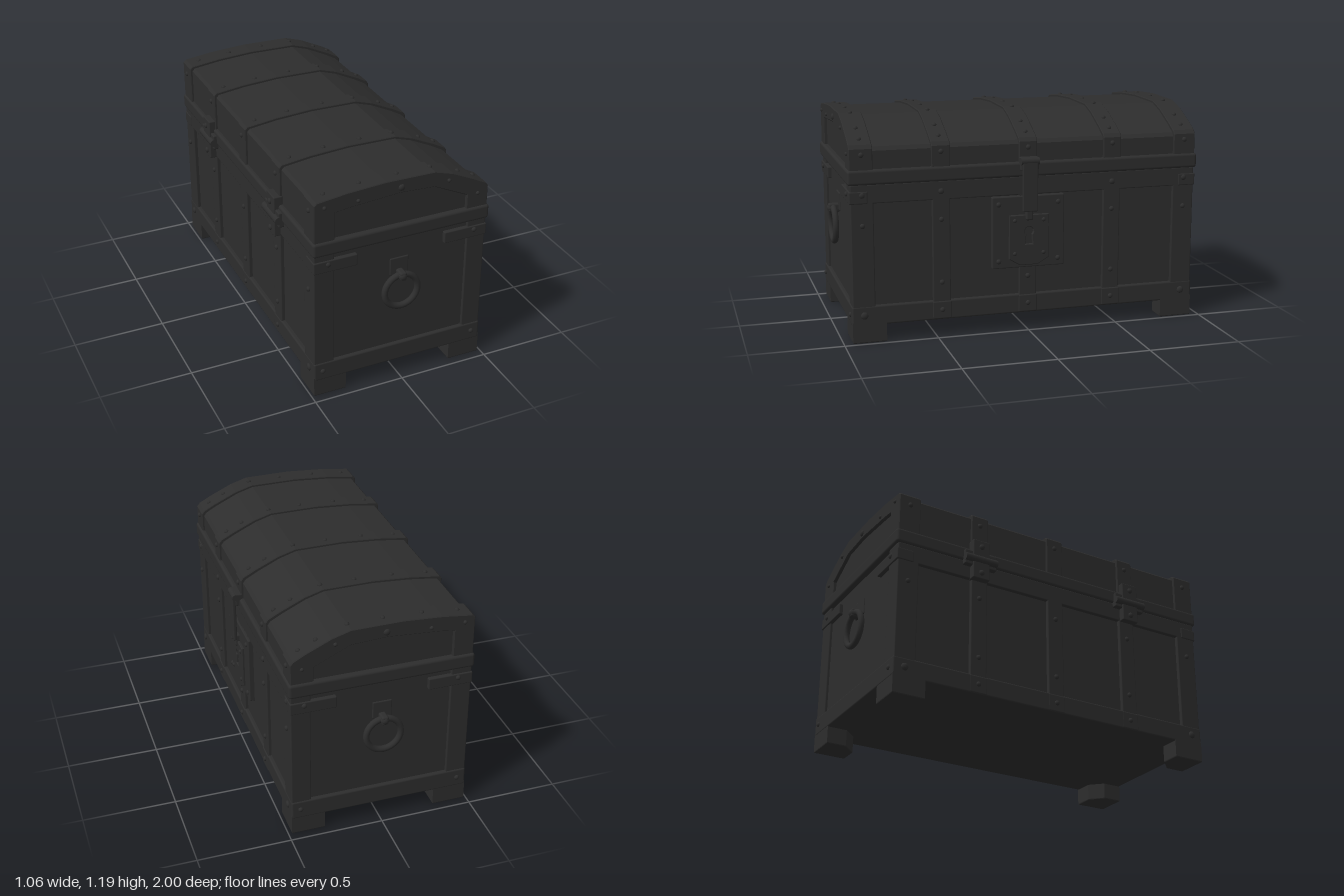
import * as THREE from 'three';
import { RoundedBoxGeometry } from 'three/addons/geometries/RoundedBoxGeometry.js';

export function createModel() {
  const model = new THREE.Group();
  model.name = 'chest';
  const dark = new THREE.MeshStandardMaterial({ color: 0x2d2d2d });
  dark.name = 'charcoal';

  const add = (name, geometry) => {
    const mesh = new THREE.Mesh(geometry, dark);
    mesh.name = name;
    model.add(mesh);
    return mesh;
  };
  // Softened box given by its extents
  const box = (name, x0, x1, y0, y1, z0, z1, r = 0.006) => {
    const mesh = add(name, new RoundedBoxGeometry(x1 - x0, y1 - y0, z1 - z0, 2, r));
    mesh.position.set((x0 + x1) / 2, (y0 + y1) / 2, (z0 + z1) / 2);
    return mesh;
  };
  // Softened extrusion between two z values
  const slab = (name, shape, z0, z1, bevel = 0.004) => {
    const g = new THREE.ExtrudeGeometry(shape, {
      depth: z1 - z0 - 2 * bevel, bevelSize: bevel, bevelThickness: bevel,
      bevelOffset: -bevel, bevelSegments: 1, curveSegments: 6,
    });
    g.translate(0, 0, z0 + bevel);
    return add(name, g);
  };
  // Flattened rivet head facing along (nx, ny, nz)
  const rivetShape = new THREE.SphereGeometry(1, 10, 6);
  const rivet = (x, y, z, nx, ny, nz, r = 0.014) => {
    const mesh = add('rivet', rivetShape);
    mesh.position.set(x, y, z);
    mesh.scale.set(r, r, 0.011);
    mesh.quaternion.setFromUnitVectors(new THREE.Vector3(0, 0, 1), new THREE.Vector3(nx, ny, nz).normalize());
  };
  const outline = (pts) => new THREE.Shape(pts.map(([x, y]) => new THREE.Vector2(x, y)));
  const sides = [-1, 1];

  // Body core and base band
  box('body', -0.465, 0.462, 0.1, 0.85, -0.935, 0.935);
  box('baseBand', -0.487, 0.482, 0.095, 0.2, -0.955, 0.955, 0.01);

  // Corner posts, end corner brackets, feet
  for (const s of sides) {
    const z = (a, b) => (s > 0 ? [a, b] : [-b, -a]);
    box('backPost', -0.485, -0.375, 0.19, 0.845, ...z(0.83, 0.95));
    box('frontPost', 0.375, 0.48, 0.19, 0.845, ...z(0.83, 0.95));
    box('backBracket', -0.489, -0.25, 0.745, 0.81, ...z(0.86, 0.957));
    box('frontBracket', 0.24, 0.484, 0.745, 0.81, ...z(0.86, 0.957));
    rivet(-0.41, 0.79, s * 0.957, 0, 0, s);
    rivet(0.41, 0.79, s * 0.957, 0, 0, s);

    for (const t of sides) {
      const foot = outline([[0, 0], [0.18, 0], [0.18, 0.11], [0.11, 0.18], [0, 0.18]]);
      const g = new THREE.ExtrudeGeometry(foot, {
        depth: 0.108, bevelSize: 0.006, bevelThickness: 0.006, bevelOffset: -0.006, bevelSegments: 2,
      });
      g.rotateX(-Math.PI / 2);
      const mesh = add('foot', g);
      const c = t > 0 ? 0.482 : -0.487;
      // Turn the same corner block to each corner
      const turn = t < 0 ? (s > 0 ? 0 : -Math.PI / 2) : (s > 0 ? Math.PI / 2 : Math.PI);
      mesh.rotation.y = turn;
      mesh.position.set(c, 0.006, s * 0.953);
      rivet(t > 0 ? 0.483 : -0.488, 0.15, s * 0.89, t, 0, 0, 0.02);
      rivet(t > 0 ? 0.483 : -0.488, 0.63, s * 0.89, t, 0, 0);
      rivet(c * 0.9, 0.15, s * 0.955, 0, 0, s);
    }
  }

  // Rims and vertical bands on the long sides
  for (const t of sides) {
    const a = t > 0 ? 0.445 : -0.485, b = t > 0 ? 0.48 : -0.445;
    box('bodyRim', a, b, 0.745, 0.845, -0.95, 0.95);
    for (const z of [-0.473, 0, 0.473]) {
      box('bodyBand', a, b, 0.1, 0.76, z - 0.048, z + 0.048);
      box('baseCleat', a - 0.003, b + 0.005, 0.1, 0.195, z - 0.052, z + 0.052);
      for (const y of [0.15, 0.3, 0.64]) {
        const base = y < 0.2 ? (t > 0 ? 0.486 : -0.488) : (t > 0 ? 0.481 : -0.486);
        rivet(base, y, z, t, 0, 0);
      }
    }
  }

  // Lid: core, lip, framed ends and straps share one profile
  const profile = [[-0.485, 0.86], [-0.485, 1.13], [-0.47, 1.145], [-0.31, 1.165], [-0.1, 1.178],
    [0.17, 1.175], [0.27, 1.145], [0.4, 1.085], [0.465, 1.05], [0.48, 1.03], [0.48, 0.86]];
  const inner = profile.map(([x, y]) => [x * 0.972, y - (y > 0.9 ? 0.013 : 0)]);
  slab('lid', outline(inner), -0.935, 0.935);
  box('lidLip', -0.494, 0.49, 0.842, 0.922, -0.964, 0.964, 0.015);

  for (const s of sides) {
    const arch = outline(profile);
    arch.holes.push(new THREE.Path([[-0.375, 0.9], [0.36, 0.9], [0.36, 1.0], [0.17, 1.09], [-0.02, 1.1],
      [-0.3, 1.08], [-0.375, 1.07]].map(([x, y]) => new THREE.Vector2(x, y))));
    slab('lidEndFrame', arch, s > 0 ? 0.925 : -0.953, s > 0 ? 0.953 : -0.925);
    slab('lidEndStrap', outline(profile), s > 0 ? 0.83 : -0.934, s > 0 ? 0.934 : -0.83);
    rivet(-0.015, 1.13, s * 0.953, 0, 0, s, 0.018);
    for (const x of [-0.43, -0.25, 0.25, 0.42]) {
      rivet(x, x > 0.4 ? 1.0 : 1.11, s * 0.953, 0, 0, s, 0.011);
    }
  }
  for (const z of [-0.473, 0, 0.473]) slab('lidStrap', outline(profile), z - 0.05, z + 0.05);

  // Rivets following the lid straps
  const topY = (x) => {
    const i = profile.findIndex((p, k) => k > 1 && p[0] >= x);
    const [x0, y0] = profile[i - 1], [x1, y1] = profile[i];
    return [y0 + (y1 - y0) * (x - x0) / (x1 - x0), (y1 - y0) / (x1 - x0)];
  };
  for (const z of [-0.89, -0.473, 0, 0.473, 0.89]) {
    for (const x of [-0.41, -0.22, -0.015, 0.17, 0.33, 0.42]) {
      const [y, slope] = topY(x);
      rivet(x, y - 0.001, z, -slope, 1, 0, 0.013);
    }
    rivet(-0.485, 1.08, z, -1, 0, 0);
    rivet(0.481, 1.0, z, 1, 0, 0);
    if (z !== 0) rivet(0.481, 0.79, z, 1, 0, 0, 0.016);
  }

  // Ring handles on both ends
  for (const s of sides) {
    const ring = add('handleRing', new THREE.TorusGeometry(0.094, 0.017, 10, 28));
    ring.position.set(-0.007, 0.54, s * 0.968);
    const za = s > 0 ? 0.93 : -0.995, zb = s > 0 ? 0.995 : -0.93;
    box('handleMount', -0.026, 0.013, 0.605, 0.655, za, zb, 0.012);
    box('handlePlate', -0.06, 0.045, 0.62, 0.72, s > 0 ? 0.92 : -0.941, s > 0 ? 0.941 : -0.92);
    const eye = add('handleEye', new THREE.SphereGeometry(0.025, 12, 8));
    eye.position.set(-0.007, 0.63, s * 0.976);
  }

  // Back hinges
  for (const z of [-0.48, 0.48]) {
    box('hingeLeaf', -0.52, -0.47, 0.74, 0.97, z - 0.05, z + 0.05);
    box('hingeWing', -0.513, -0.47, 0.815, 0.9, z - 0.095, z + 0.095);
    const pin = add('hingePin', new THREE.CylinderGeometry(0.022, 0.022, 0.19, 12));
    pin.rotation.x = Math.PI / 2;
    pin.position.set(-0.511, 0.855, z);
    for (const y of [0.775, 0.93]) rivet(-0.522, y, z, -1, 0, 0, 0.016);
  }

  // Lock plate with keyhole
  box('lockPlate', 0.45, 0.49, 0.35, 0.74, -0.2, 0.2);
  const lock = outline([[-0.11, 0.4], [-0.05, 0.365], [0.05, 0.365], [0.11, 0.4], [0.11, 0.64], [-0.11, 0.64]]);
  const keyhole = new THREE.Path();
  keyhole.absarc(0, 0.55, 0.024, -0.9, Math.PI + 0.9, false);
  keyhole.lineTo(-0.02, 0.48);
  keyhole.lineTo(0.02, 0.48);
  lock.holes.push(keyhole);
  slab('lockCase', lock, 0.485, 0.503).rotation.y = Math.PI / 2;
  for (const z of sides) {
    for (const y of [0.39, 0.7]) rivet(0.49, y, z * 0.165, 1, 0, 0);
    for (const y of [0.43, 0.61]) rivet(0.502, y, z * 0.08, 1, 0, 0, 0.012);
  }

  // Hasp hanging over the lock
  box('hasp', 0.508, 0.528, 0.66, 0.94, -0.042, 0.042);
  box('haspMount', 0.47, 0.512, 0.88, 0.95, -0.05, 0.05);
  const haspPin = add('haspPin', new THREE.CylinderGeometry(0.02, 0.02, 0.1, 12));
  haspPin.rotation.x = Math.PI / 2;
  haspPin.position.set(0.51, 0.93, 0);
  box('haspStaple', 0.48, 0.515, 0.61, 0.68, -0.02, 0.02, 0.01);

  return model;
}
